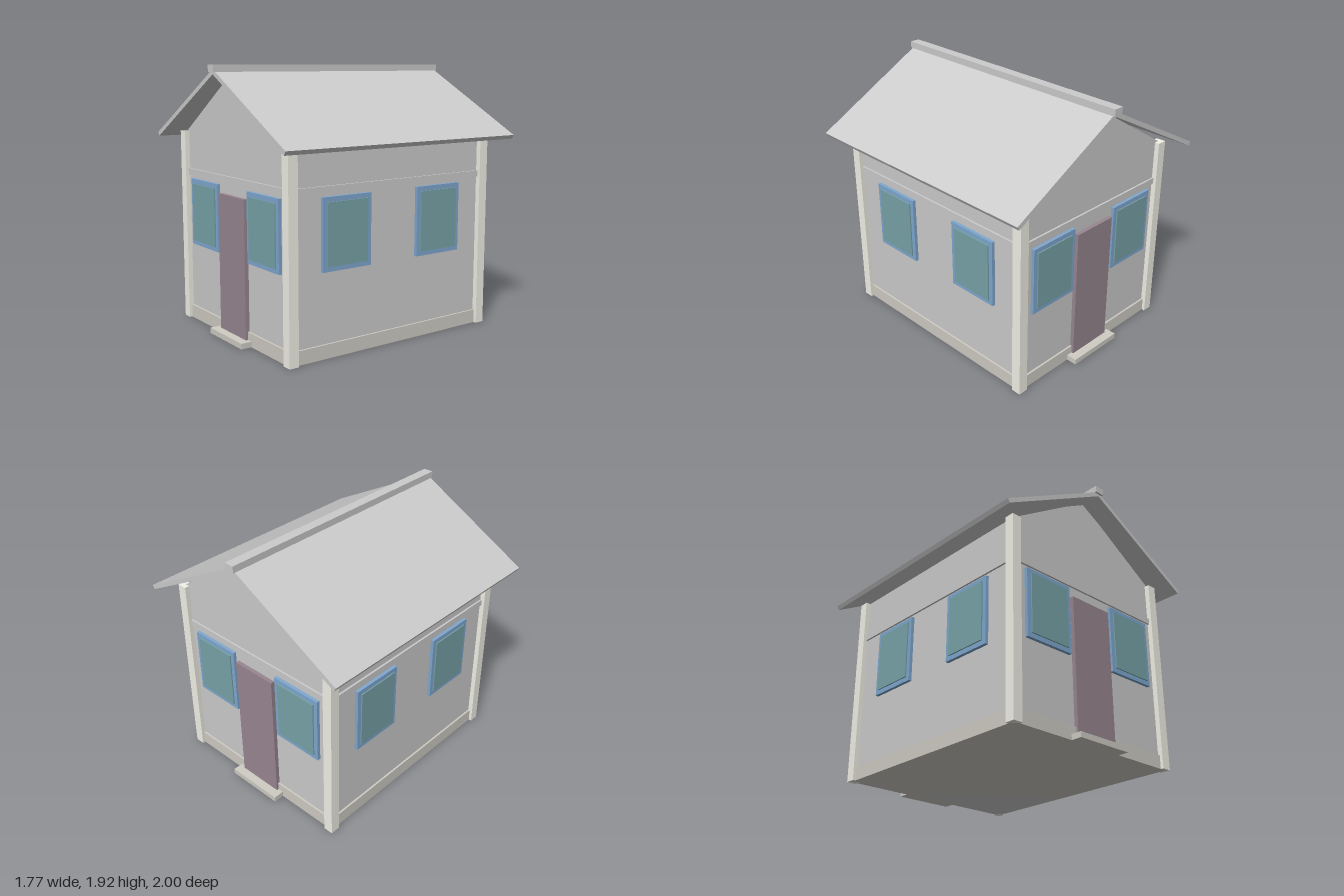
import * as THREE from 'three';

const material = (color) => new THREE.MeshStandardMaterial({ color });
const grey = material(0xcccccc);
const cream = material(0xf2f2e8);
const stone = material(0xcfccc4);
const blue = material(0x7fa8d0);
const glass = material(0x78a3a8);
const wood = material(0x988690);

const WX = 0.7, WZ = 0.835, EAVE = 1.43; // wall half sizes and height

export function createModel() {
  const house = new THREE.Group();
  house.name = 'house';

  // Box given by its lower and upper corners
  function box(name, mat, [x0, y0, z0], [x1, y1, z1], parent = house) {
    const mesh = new THREE.Mesh(new THREE.BoxGeometry(x1 - x0, y1 - y0, z1 - z0), mat);
    mesh.position.set((x0 + x1) / 2, (y0 + y1) / 2, (z0 + z1) / 2);
    mesh.name = name;
    parent.add(mesh);
  }

  // Outline in x and y, extruded evenly along z
  function prism(name, points, halfDepth) {
    const shape = new THREE.Shape(points.map(([x, y]) => new THREE.Vector2(x, y)));
    const geometry = new THREE.ExtrudeGeometry(shape, { depth: halfDepth * 2, bevelEnabled: false });
    geometry.translate(0, 0, -halfDepth);
    const mesh = new THREE.Mesh(geometry, grey);
    mesh.name = name;
    house.add(mesh);
  }

  // Walls with their gables
  prism('walls', [[-WX, 0], [WX, 0], [WX, EAVE], [0, 1.873], [-WX, EAVE]], WZ);

  // Roof slopes and ridge cap
  for (const [side, s] of [['left', 1], ['right', -1]]) {
    prism(side + 'Roof', [[0, 1.857], [s * 0.869, 1.388], [s * 0.885, 1.416], [0, 1.892]], 0.985);
  }
  box('ridgeCap', grey, [-0.037, 1.873, -1], [0.037, 1.922, 1]);

  // Corner posts
  for (const x of [-WX, WX]) {
    for (const z of [-WZ, WZ]) {
      box('cornerPost', cream, [x - 0.036, 0, z - 0.036], [x + 0.036, EAVE, z + 0.036]);
    }
  }

  // Bands around the walls
  const bx = WX + 0.014, bz = WZ + 0.014;
  box('plinth', stone, [-bx, 0, -bz], [bx, 0.098, bz]);
  box('upperBand', grey, [-bx, 1.108, -bz], [bx, 1.153, bz]);

  // Each wall face is a group with local z = 0 on the wall plane
  const faces = [['front', 0, WZ], ['left', 1, WX], ['back', 2, WZ], ['right', 3, WX]];
  for (const [side, turn, distance] of faces) {
    const face = new THREE.Group();
    face.name = side + 'Openings';
    face.rotation.y = turn * Math.PI / 2;
    face.position.set(0, 0, distance).applyEuler(face.rotation);
    house.add(face);

    // Two windows, with the panes standing slightly proud of the frames
    for (const x of [-0.402, 0.402]) {
      box('windowFrame', blue, [x - 0.198, 0.589, -0.02], [x + 0.198, 1.083, 0.024], face);
      box('windowPane', glass, [x - 0.166, 0.622, -0.01], [x + 0.166, 1.05, 0.033], face);
    }

    // Door and doorstep on the gable ends
    if (turn % 2 === 0) {
      box('door', wood, [-0.177, 0.04, -0.02], [0.177, 1.023, 0.03], face);
      box('doorstep', stone, [-0.222, 0, -0.02], [0.222, 0.04, 0.093], face);
    }
  }
  return house;
}
